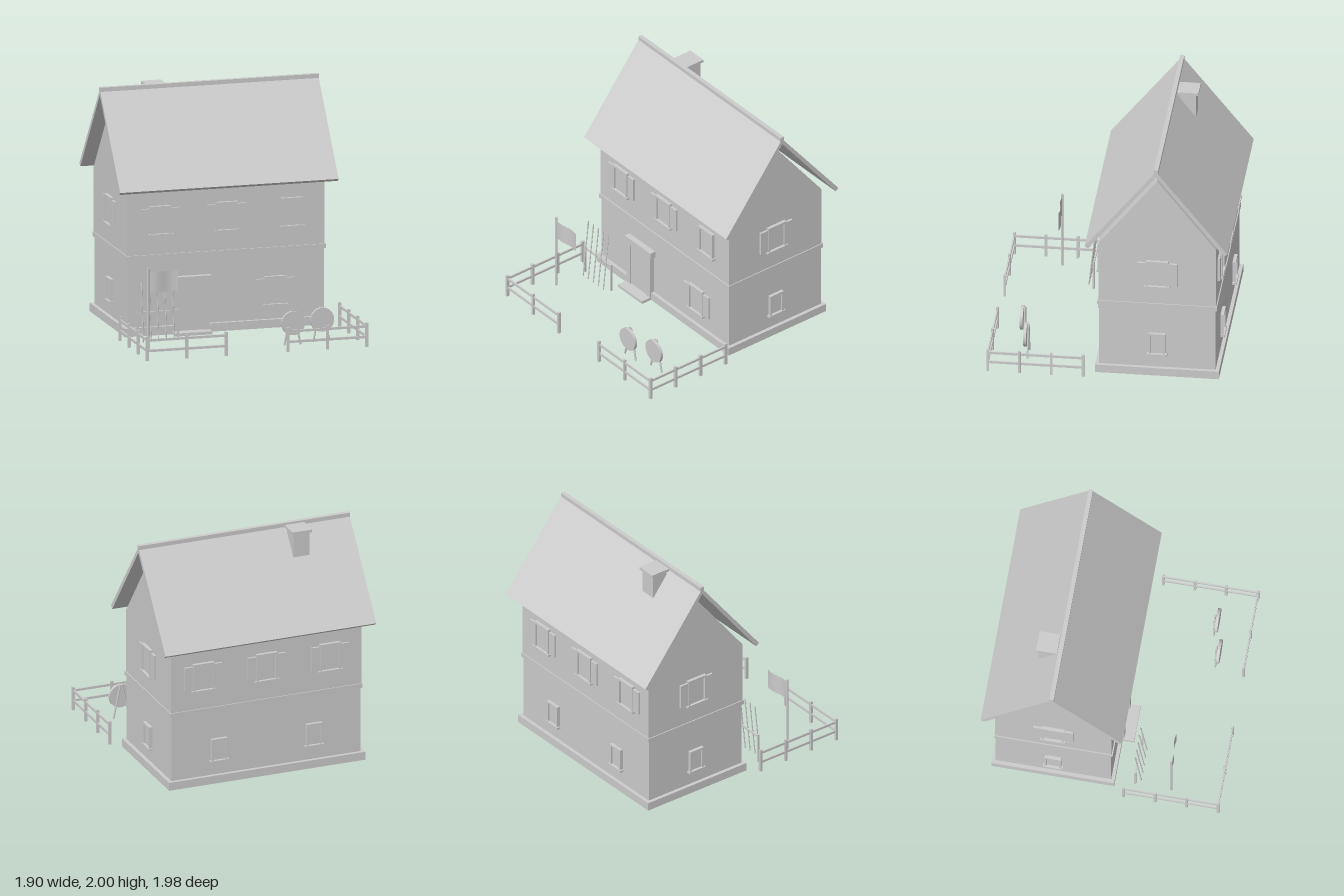
import * as THREE from 'three';

export function createModel() {
  const root = new THREE.Group();
  root.name = 'house';
  const grey = new THREE.MeshStandardMaterial({ color: 0xcccccc, side: THREE.DoubleSide });
  grey.name = 'plainGrey';

  const add = (name, geo, parent = root) => {
    const m = new THREE.Mesh(geo, grey);
    m.name = name;
    parent.add(m);
    return m;
  };
  const group = (name, parent = root) => {
    const g = new THREE.Group();
    g.name = name;
    parent.add(g);
    return g;
  };
  // box given by its two extreme corners
  const box = (name, x0, x1, y0, y1, z0, z1, parent) => {
    const m = add(name, new THREE.BoxGeometry(x1 - x0, y1 - y0, z1 - z0), parent);
    m.position.set((x0 + x1) / 2, (y0 + y1) / 2, (z0 + z1) / 2);
    return m;
  };
  // round bar between two points
  const bar = (name, a, b, r0, r1, parent, sides = 8) => {
    const p = new THREE.Vector3(...a), q = new THREE.Vector3(...b);
    const d = q.clone().sub(p);
    const m = add(name, new THREE.CylinderGeometry(r1, r0, d.length(), sides), parent);
    m.position.copy(p).add(q).multiplyScalar(0.5);
    m.quaternion.setFromUnitVectors(new THREE.Vector3(0, 1, 0), d.normalize());
    return m;
  };
  // prism along x from a [z, y] outline
  const prism = (name, pts, halfX) => {
    const shape = new THREE.Shape(pts.map(([z, y]) => new THREE.Vector2(-z, y)));
    const g = new THREE.ExtrudeGeometry(shape, { depth: halfX * 2, bevelEnabled: false });
    g.translate(0, 0, -halfX);
    g.rotateY(Math.PI / 2);
    return add(name, g);
  };

  // walls
  const midZ = -0.405;
  box('plinth', -0.868, 0.868, 0.01, 0.08, -0.915, 0.105);
  box('lowerWalls', -0.837, 0.837, 0.08, 0.645, -0.885, 0.075);
  box('floorBand', -0.85, 0.85, 0.645, 0.683, -0.898, 0.09);
  box('upperWalls', -0.842, 0.842, 0.683, 1.222, -0.89, 0.08);
  prism('gable', [[0.08, 1.222], [midZ, 1.845], [-0.89, 1.222]], 0.842);

  // roof slabs and ridge
  for (const s of [1, -1]) {
    prism('roofSlope', [[0.588, 1.24], [0.56, 1.218], [0, 1.935], [0, 1.985]]
      .map(([d, y]) => [midZ + s * d, y]), 0.932);
  }
  box('ridgeCap', -0.932, 0.932, 1.965, 2, midZ - 0.018, midZ + 0.018);

  // chimney
  box('chimney', -0.51, -0.365, 1.5, 1.965, -0.585, -0.448);
  box('chimneyCap', -0.523, -0.352, 1.963, 1.987, -0.605, -0.432);

  // windows, built facing +z with the sill at y = 0
  const makeWindow = (name, x, y, z, turn, w, h, shutters) => {
    const g = group(name);
    g.position.set(x, y, z);
    g.rotation.y = turn;
    const a = w / 2, t = 0.018;
    box('pane', -a + t, a - t, 0.016, h - t, -0.01, 0.012, g);
    for (const s of [-1, 1]) {
      box('frameSide', s * (a - t / 2) - t / 2, s * (a - t / 2) + t / 2, 0.016, h - t, -0.01, 0.028, g);
      if (shutters) box('shutter', s * (a + 0.037) - 0.037, s * (a + 0.037) + 0.037, 0.02, h - 0.02, 0, 0.018, g);
    }
    box('frameTop', -a, a, h - t, h, -0.01, 0.028, g);
    box('sill', -a - 0.012, a + 0.012, 0, 0.018, -0.01, 0.036, g);
  };
  for (const x of [-0.56, 0, 0.56]) {
    makeWindow('frontUpperWindow', x, 0.84, 0.08, 0, 0.185, 0.25, x < 0.5);
    makeWindow('backUpperWindow', x, 0.84, -0.89, Math.PI, 0.185, 0.25, true);
  }
  makeWindow('frontLowerWindow', 0.42, 0.19, 0.075, 0, 0.185, 0.25, true);
  for (const s of [-1, 1]) {
    makeWindow('backLowerWindow', s * 0.42, 0.195, -0.885, Math.PI, 0.14, 0.205, false);
    makeWindow('sideUpperWindow', s * 0.842, 0.84, midZ, s * Math.PI / 2, 0.185, 0.25, true);
    makeWindow('sideLowerWindow', s * 0.837, 0.195, midZ, s * Math.PI / 2, 0.14, 0.205, false);
  }

  // door
  const door = group('door');
  box('doorPanel', -0.41, -0.195, 0.035, 0.41, 0.06, 0.107, door);
  box('doorPost', -0.455, -0.41, 0.03, 0.43, 0.06, 0.117, door);
  box('doorPost', -0.195, -0.15, 0.03, 0.43, 0.06, 0.117, door);
  box('doorHead', -0.41, -0.195, 0.41, 0.43, 0.06, 0.112, door);
  box('lintel', -0.47, -0.132, 0.43, 0.488, 0.06, 0.125, door);
  box('doorStep', -0.465, -0.15, 0.01, 0.035, 0.09, 0.2, door);

  // fence
  const fence = group('fence');
  const post = (x, z) => box('fencePost', x - 0.011, x + 0.011, 0.005, 0.207, z - 0.011, z + 0.011, fence);
  for (const s of [-1, 1]) {
    const X = s * 0.937;
    for (const z of [0.195, 0.457, 0.718, 0.98]) post(X, z);
    for (const x of [0.6, 0.263]) post(s * x, 0.98);
    for (const y of [0.088, 0.176]) {
      box('sideRail', X - 0.006, X + 0.006, y - 0.01, y + 0.01, 0.195, 0.98, fence);
      const xs = [s * 0.263, X].sort((a, b) => a - b);
      box('frontRail', xs[0], xs[1], y - 0.01, y + 0.01, 0.974, 0.986, fence);
    }
  }

  // flag
  const flag = group('flag');
  bar('flagPole', [-0.81, 0.005, 0.57], [-0.81, 0.68, 0.57], 0.011, 0.011, flag, 12);
  const cloth = new THREE.PlaneGeometry(0.25, 0.17, 16, 1);
  const p = cloth.attributes.position;
  for (let i = 0; i < p.count; i++) p.setZ(i, 0.009 * Math.sin((p.getX(i) + 0.125) * 25));
  cloth.computeVertexNormals();
  add('flagCloth', cloth, flag).position.set(-0.68, 0.565, 0.57);

  // spear rack
  const rack = group('spearRack');
  for (const x of [-0.81, -0.465]) box('rackPost', x - 0.008, x + 0.008, 0.005, 0.262, 0.262, 0.278, rack);
  box('rackRail', -0.822, -0.455, 0.238, 0.252, 0.264, 0.276, rack);
  for (let i = 0; i < 5; i++) {
    const x = -0.775 + i * 0.066;
    bar('spearShaft', [x, 0.008, 0.316], [x, 0.48, 0.266], 0.005, 0.005, rack, 6);
    bar('spearHead', [x, 0.48, 0.266], [x, 0.527, 0.261], 0.009, 0.003, rack, 6);
  }

  // archery targets on leaning legs
  for (const [x, z] of [[0.372, 0.76], [0.637, 0.701]]) {
    const t = group('target');
    t.position.set(x, 0, z);
    const disc = add('targetDisc', new THREE.CylinderGeometry(0.1, 0.1, 0.025, 32), t);
    disc.rotation.x = Math.PI / 2;
    disc.position.y = 0.192;
    for (const s of [-1, 1]) bar('targetLeg', [s * 0.07, 0.005, -0.022], [s * 0.008, 0.297, -0.022], 0.008, 0.008, t);
  }
  return root;
}
